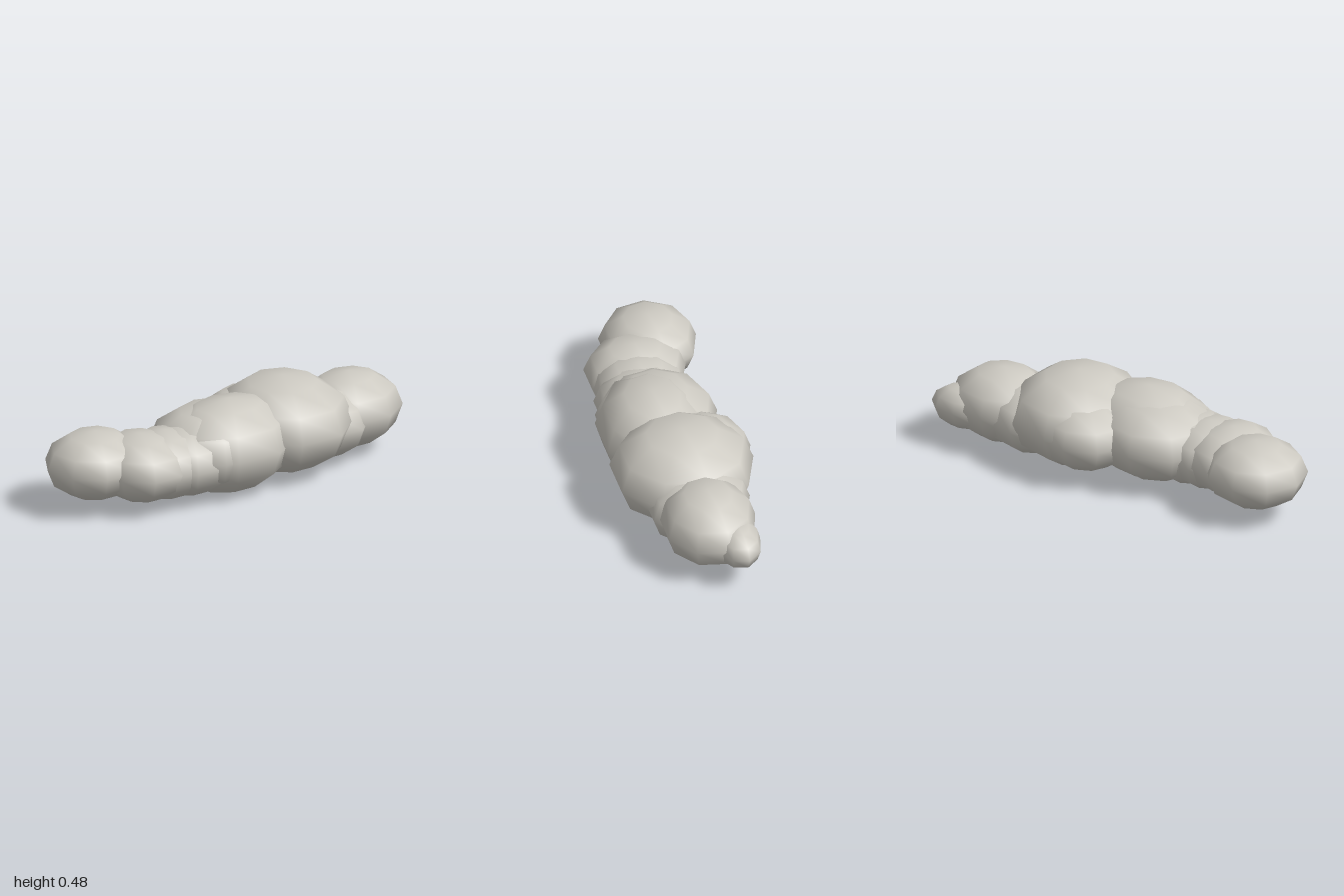
import * as THREE from 'three';

export function createModel() {
  const group = new THREE.Group();
  group.name = 'cloud';
  const cloudGrey = new THREE.MeshStandardMaterial({ color: 0xcdcac2 });
  cloudGrey.name = 'cloudGrey';

  // one coarse, smooth-shaded sphere: nine sides, six rings, a seam vertex at the back
  const puff = new THREE.SphereGeometry(1, 9, 6, -Math.PI / 2);

  // name, centre, radii
  const puffs = [
    ['rightEndPuff', [-0.75, 0.235, -0.093], [0.25, 0.166, 0.237]],
    ['rightFrontPuff', [-0.565, 0.217, 0.02], [0.225, 0.166, 0.25]],
    ['rightInnerPuff', [-0.43, 0.208, 0.037], [0.24, 0.168, 0.227]],
    ['rightLowPuff', [-0.32, 0.208, 0.05], [0.24, 0.172, 0.235]],
    ['middlePuff', [-0.08, 0.235, 0.065], [0.35, 0.23, 0.27]],
    ['middleBackPuff', [-0.15, 0.235, 0.025], [0.325, 0.202, 0.295]],
    ['largePuff', [0.27, 0.253, 0.015], [0.338, 0.233, 0.35]],
    ['backPuff', [0.16, 0.235, -0.126], [0.25, 0.17, 0.224]],
    ['leftLowPuff', [0.5, 0.203, 0], [0.24, 0.18, 0.255]],
    ['leftPuff', [0.67, 0.223, -0.003], [0.27, 0.186, 0.232]],
    ['leftEndPuff', [0.832, 0.203, -0.1], [0.17, 0.108, 0.115]],
  ];
  for (const [name, centre, radii] of puffs) {
    const mesh = new THREE.Mesh(puff, cloudGrey);
    mesh.name = name;
    mesh.position.set(...centre);
    mesh.scale.set(...radii);
    group.add(mesh);
  }
  return group;
}
